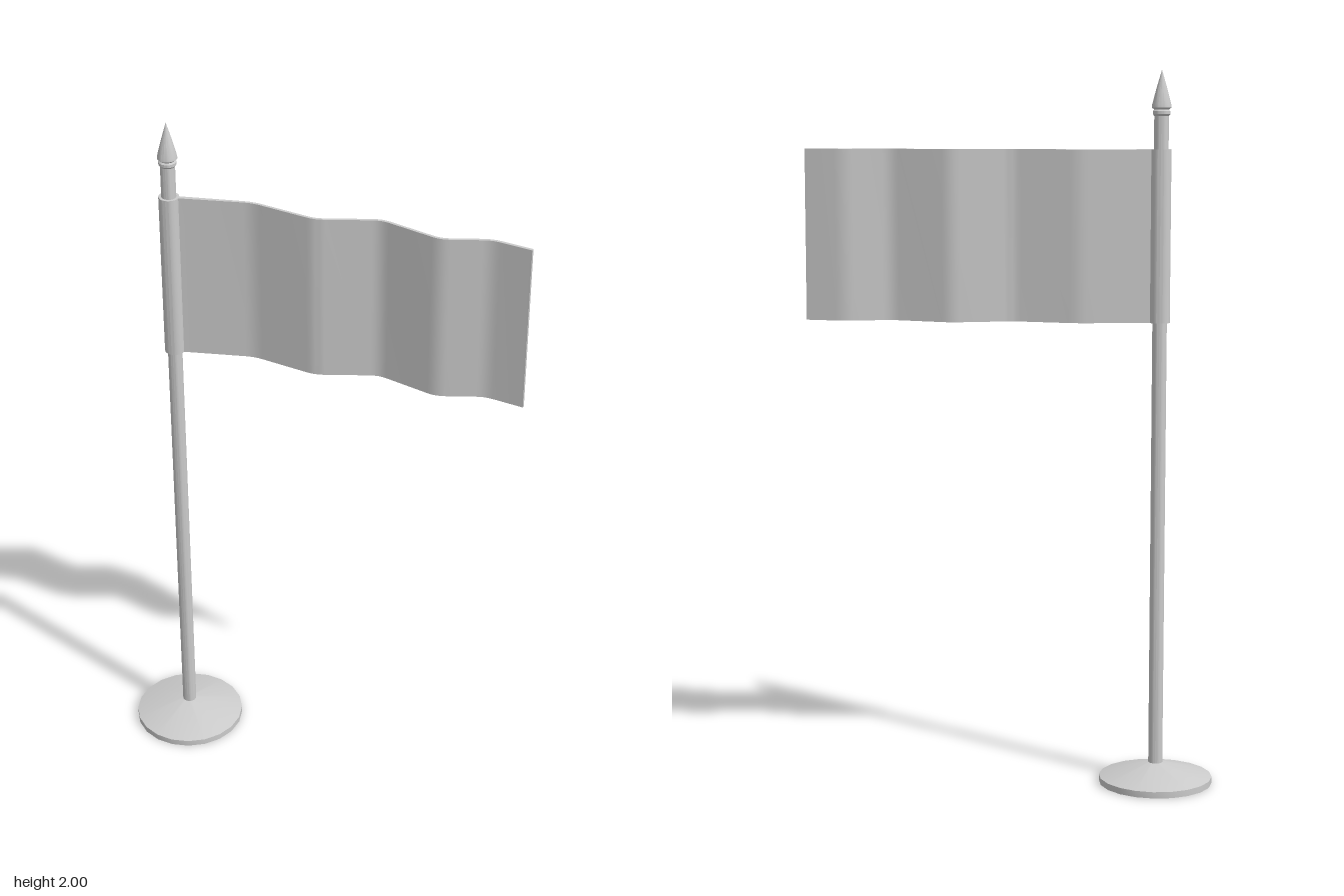
import * as THREE from 'three';
import { toCreasedNormals } from 'three/addons/utils/BufferGeometryUtils.js';

const POLE_X = -0.412;
const FLAG_BOTTOM = 1.31, FLAG_TOP = 1.785;

export function createModel() {
  const model = new THREE.Group();
  const material = new THREE.MeshStandardMaterial({ color: 0xcccccc });

  function add(name, geometry, crease = 0.6) {
    const mesh = new THREE.Mesh(toCreasedNormals(geometry, crease), material);
    mesh.name = name;
    model.add(mesh);
    return mesh;
  }

  // Turned part on the pole axis, from [radius, height] pairs
  function turned(name, profile, sides) {
    const points = profile.map(([r, y]) => new THREE.Vector2(r, y));
    add(name, new THREE.LatheGeometry(points, sides), 0.5).position.x = POLE_X;
  }

  turned('base', [[0, 0], [0.16, 0], [0.16, 0.018], [0.022, 0.058], [0, 0.058]], 20);
  turned('pole', [[0, 0.05], [0.02, 0.05], [0.02, 1.88], [0, 1.88]], 20);
  turned('finial', [
    [0, 1.875], [0.02, 1.875], [0.024, 1.88], [0.024, 1.888], [0.02, 1.892],
    [0.027, 1.898], [0.026, 1.906], [0.016, 1.945], [0, 2],
  ], 20);

  // Sleeve of cloth wrapped round the pole
  turned('flagSleeve', [
    [0.02, FLAG_BOTTOM], [0.028, FLAG_BOTTOM], [0.028, FLAG_TOP], [0.02, FLAG_TOP],
  ], 20);

  // Wavy cloth: centre line with softened folds, [x, z]
  const folds = [
    [-0.392, -0.002], [-0.19, -0.034], [-0.005, 0.004], [0.162, -0.044],
    [0.335, 0.01], [0.462, -0.026], [0.572, -0.005],
  ].map(([x, z]) => new THREE.Vector2(x, -z));
  const line = [folds[0]];
  for (let i = 1; i < folds.length - 1; i++) {
    const toward = (p) => folds[i].clone().add(p.clone().sub(folds[i]).setLength(0.025));
    const bend = new THREE.QuadraticBezierCurve(toward(folds[i - 1]), folds[i], toward(folds[i + 1]));
    line.push(...bend.getPoints(4));
  }
  line.push(folds[folds.length - 1]);

  // Offset the line to both sides for the cloth thickness
  const offset = (side) => line.map((p, i) => {
    const a = line[Math.max(i - 1, 0)], b = line[Math.min(i + 1, line.length - 1)];
    const along = b.clone().sub(a).normalize();
    const half = i === 0 ? 0.006 : 0.004;
    return new THREE.Vector2(p.x - along.y * half * side, p.y + along.x * half * side);
  });
  const outline = new THREE.Shape([...offset(-1), ...offset(1).reverse()]);
  const cloth = new THREE.ExtrudeGeometry(outline, {
    depth: FLAG_TOP - FLAG_BOTTOM, bevelEnabled: false,
  });
  cloth.rotateX(-Math.PI / 2).translate(0, FLAG_BOTTOM, 0);
  add('flagCloth', cloth);

  return model;
}
